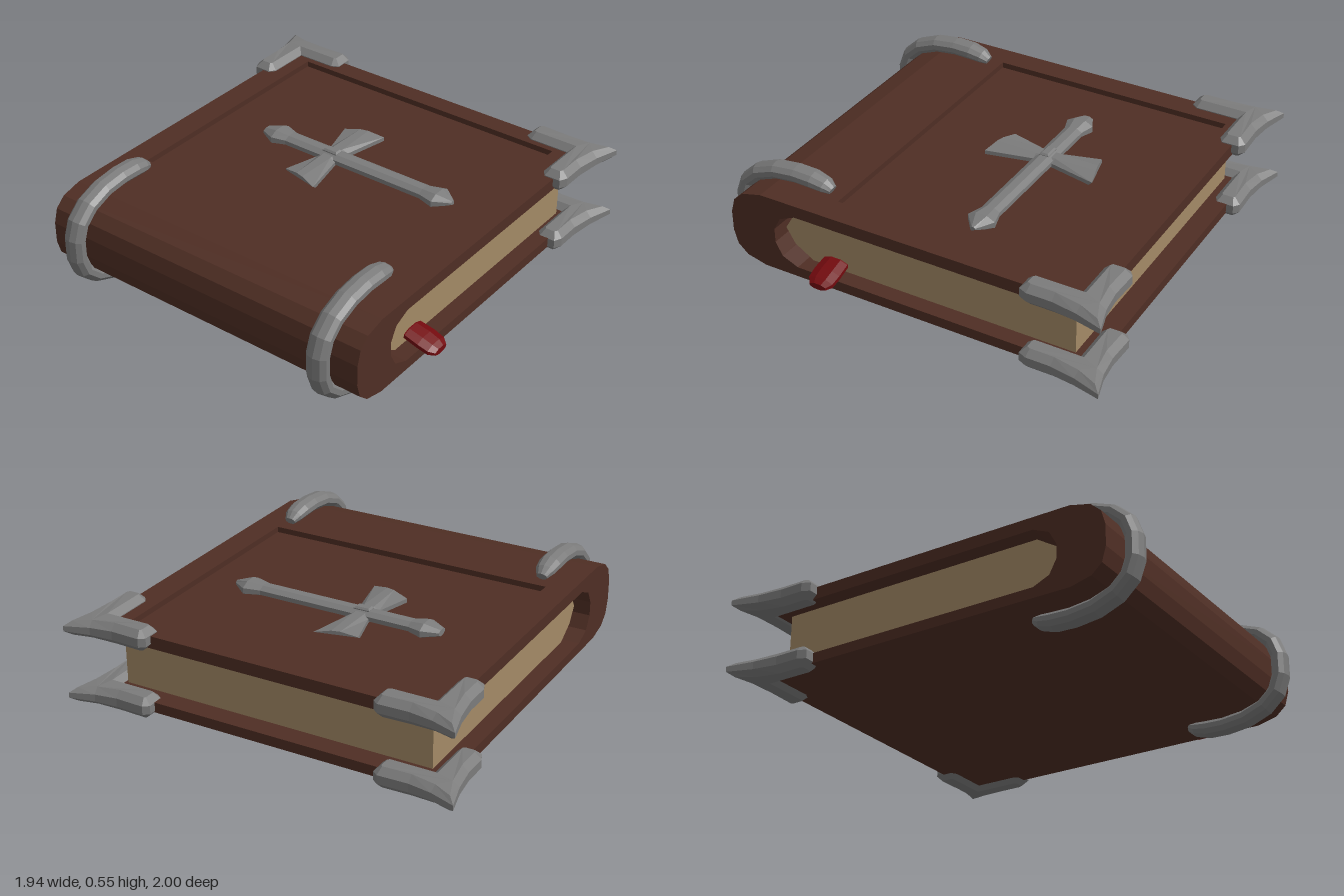
import * as THREE from 'three';

const mat = (name, color) => {
  const m = new THREE.MeshStandardMaterial({ color, flatShading: true });
  m.name = name;
  return m;
};
const V = (x, y, z) => new THREE.Vector3(x, y, z);

// Outline in (z, y), extruded along x
function alongX(pts, x0, x1) {
  const shape = new THREE.Shape(pts.map(([z, y]) => new THREE.Vector2(-z, y)));
  return new THREE.ExtrudeGeometry(shape, { depth: x1 - x0, bevelEnabled: false })
    .rotateY(Math.PI / 2).translate(x0, 0, 0);
}

// Outline in (x, z), extruded upward, with an optional hole and bevel
function plate(pts, y0, y1, hole, bevel = 0) {
  const flat = (p) => p.map(([x, z]) => new THREE.Vector2(x, -z));
  const shape = new THREE.Shape(flat(pts));
  if (hole) shape.holes.push(new THREE.Path(flat(hole)));
  return new THREE.ExtrudeGeometry(shape, {
    depth: y1 - y0 - 2 * bevel, bevelEnabled: bevel > 0, bevelSize: bevel,
    bevelThickness: bevel, bevelOffset: -bevel, bevelSegments: 1,
  }).rotateX(-Math.PI / 2).translate(0, y0 + bevel, 0);
}

// Closed elliptical ring around a centre
function ring(c, u, v, sides = 8) {
  return Array.from({ length: sides }, (_, i) => {
    const a = ((i + 0.5) / sides) * Math.PI * 2;
    return c.clone().addScaledVector(u, Math.cos(a)).addScaledVector(v, Math.sin(a));
  });
}

// Skin through rings, with capped ends
function loft(rings) {
  const n = rings[0].length, pts = rings.flat(), idx = [];
  for (let i = 0; i < rings.length - 1; i++) {
    for (let j = 0; j < n; j++) {
      const a = i * n + j, b = i * n + (j + 1) % n;
      idx.push(a, b, b + n, a, b + n, a + n);
    }
  }
  const last = (rings.length - 1) * n;
  for (let j = 1; j < n - 1; j++) idx.push(0, j + 1, j, last, last + j, last + j + 1);
  // Turn the faces outward if the signed volume is negative
  let vol = 0;
  for (let i = 0; i < idx.length; i += 3) {
    vol += pts[idx[i]].dot(pts[idx[i + 1]].clone().cross(pts[idx[i + 2]]));
  }
  if (vol < 0) idx.reverse();
  const g = new THREE.BufferGeometry().setFromPoints(pts);
  g.setIndex(idx);
  g.computeVertexNormals();
  return g;
}

export function createModel() {
  const model = new THREE.Group();
  model.name = 'book';
  const leather = mat('brown leather', 0x4f2e24);
  const paper = mat('aged paper', 0xa38a66);
  const metal = mat('grey metal', 0x7b7b7b);
  const red = mat('dark red', 0x730a0e);
  const add = (name, geo, m) => {
    const mesh = new THREE.Mesh(geo, m);
    mesh.name = name;
    model.add(mesh);
    return mesh;
  };

  // Wrap-around cover with rounded spine
  const L = -0.855, R = 0.865;
  add('cover', alongX([
    [-0.9, 0.08], [0.75, 0.08], [0.85, 0.105], [0.9, 0.15], [0.92, 0.22],
    [0.92, 0.32], [0.9, 0.39], [0.85, 0.435], [0.75, 0.46], [0.42, 0.46],
    [0.42, 0.41], [-0.9, 0.41], [-0.9, 0.4], [0.57, 0.4], [0.65, 0.365], [0.685, 0.3],
    [0.685, 0.23], [0.65, 0.165], [0.57, 0.13], [-0.9, 0.13],
  ], L, R), leather);

  // Stepped recesses on the top: elongated octagon inside a sunken panel
  const niche = [[-0.6, -0.18], [-0.46, -0.36], [0, -0.465], [0.47, -0.36],
    [0.605, -0.18], [0.47, 0], [0, 0.1], [-0.46, 0]];
  add('sunkenPanel', plate([[L, -0.9], [R, -0.9], [R, 0.42], [L, 0.42]], 0.41, 0.432, niche), leather);
  add('panelFrame', plate([[L, -0.9], [R, -0.9], [R, 0.42], [0.735, 0.42], [0.735, -0.8],
    [-0.73, -0.8], [-0.73, 0.42], [L, 0.42]], 0.432, 0.46), leather);

  // Page block
  add('pages', alongX([[-0.8, 0.13], [0.54, 0.13], [0.635, 0.19], [0.68, 0.265],
    [0.635, 0.34], [0.54, 0.4], [-0.8, 0.4]], -0.775, 0.785), paper);

  // Spine bands
  const half = [[0.475, 0.205], [0.51, 0.222], [0.57, 0.234], [0.66, 0.237], [0.77, 0.224],
    [0.87, 0.185], [0.935, 0.125], [0.962, 0.05]];
  const path = [...half, ...half.map(([z, y]) => [z, -y]).reverse()];
  for (const x of [-0.685, 0.695]) {
    const rings = path.map(([z, y], i) => {
      const p = path[Math.max(i - 1, 0)], q = path[Math.min(i + 1, path.length - 1)];
      const normal = V(0, q[0] - p[0], -(q[1] - p[1])).normalize();
      const end = Math.min(i, path.length - 1 - i);
      const s = [0.5, 0.85][end] ?? 1;
      return ring(V(x, 0.275 + y, z), V(0.055 * s, 0, 0), normal.multiplyScalar(0.04 * s), 10);
    });
    add('spineBand', loft(rings), metal);
  }

  // Corner guards, flared to a point
  const guard = [[0.97, -1], [0.935, -0.87], [0.918, -0.75], [0.918, -0.63], [0.9, -0.59],
    [0.82, -0.59], [0.797, -0.62], [0.797, -0.83], [0.6, -0.83], [0.567, -0.85],
    [0.567, -0.935], [0.595, -0.957], [0.74, -0.952], [0.85, -0.965]];
  for (const side of [-1, 1]) {
    for (const y of [0.443, 0.108]) {
      const g = plate(guard.map(([x, z]) => [x * side, z]), -0.051, 0.051, null, 0.03);
      const p = g.attributes.position;
      // Thin the guard toward its tip
      for (let i = 0; i < p.count; i++) {
        const d = Math.hypot(Math.abs(p.getX(i)) - 0.97, p.getZ(i) + 1);
        p.setY(i, p.getY(i) * Math.min(1, 0.6 + d * 2));
      }
      g.computeVertexNormals();
      add('cornerGuard', g.translate(0, y, 0), metal);
    }
  }

  // Cross: long bar with swollen ends, as [x, half width, half height]
  const bar = [[-0.497, 0.03, 0.015], [-0.42, 0.068, 0.036], [-0.35, 0.046, 0.026],
    [0.43, 0.046, 0.026], [0.51, 0.068, 0.034], [0.585, 0.012, 0.012]];
  add('crossBar', loft(bar.map(([x, w, h]) =>
    ring(V(x, 0.428, -0.182), V(0, 0, w * 1.08), V(0, h * 1.08, 0)))), metal);

  // Cross: two flared arms with a flat ridge
  for (const s of [-1, 1]) {
    const arm = [[0.182, 0.04, 0.025], [0.24, 0.05, 0.025], [0.46, 0.1, 0.02]];
    add('crossArm', loft(arm.map(([, w, t], i) => {
      const z = (k) => -0.182 + s * (i === 2 ? 0.255 + k * 0.25 : i * 0.05);
      return [[-w, 0.405], [-w, 0.43], [-t, 0.447], [t, 0.447], [w, 0.43], [w, 0.405]]
        .map(([x, y]) => V(-0.1 + x, y, z(x)));
    })), metal);
  }
  add('crossBoss', plate([[-0.14, -0.205], [-0.06, -0.205], [-0.06, -0.158], [-0.14, -0.158]],
    0.43, 0.464, null, 0.008), metal);

  // Bookmark ribbon drooping over the lower cover edge
  const ribbon = [[0.7, 0.17, 0.05], [0.79, 0.165, 0.068], [0.86, 0.148, 0.072],
    [0.91, 0.133, 0.068], [0.937, 0.125, 0.045]];
  add('ribbon', loft(ribbon.map(([x, y, w]) =>
    ring(V(x, y, 0.413), V(0, 0, w), V(0, w * 0.35, 0)))), red);

  return model;
}
